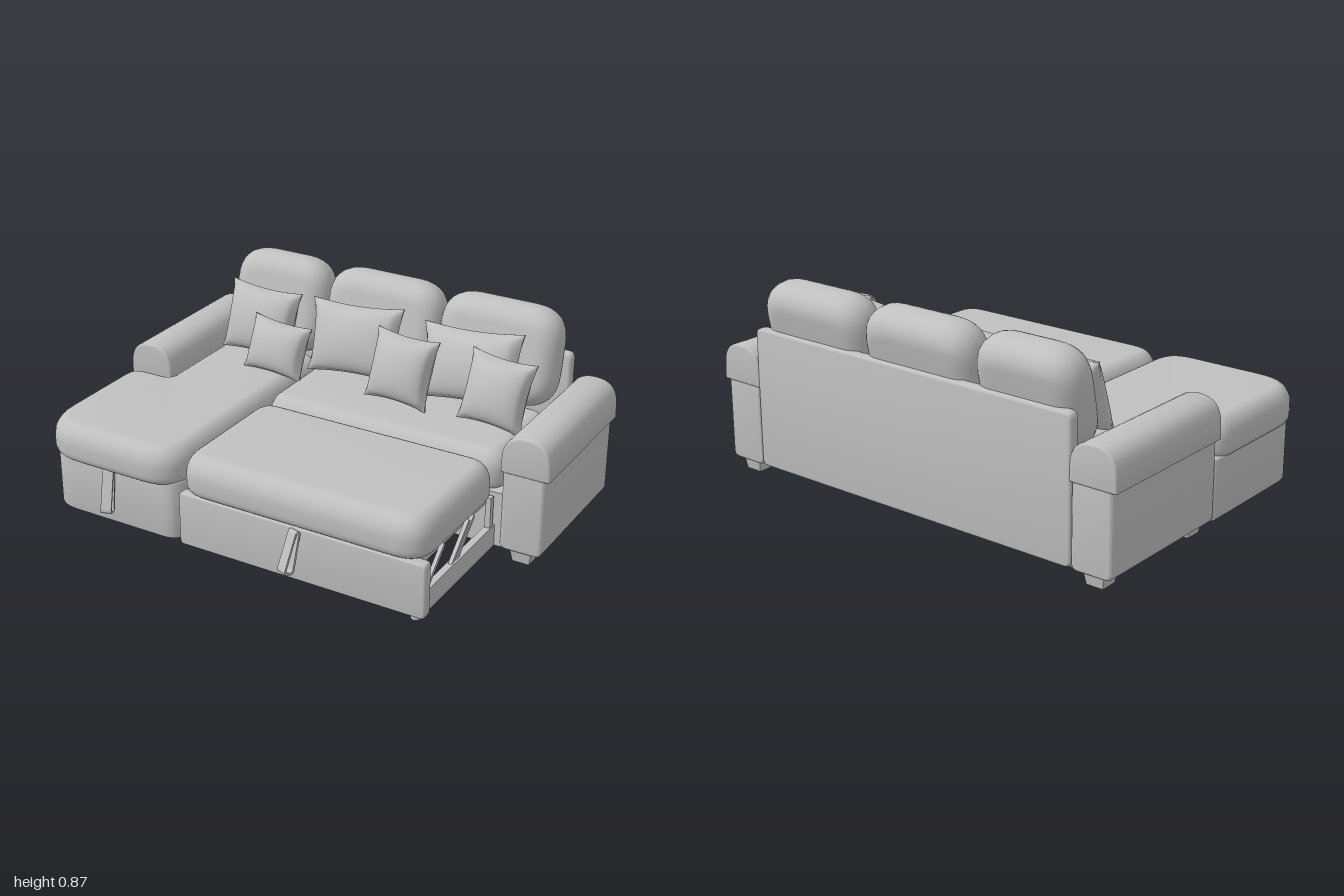
import * as THREE from 'three';
import { mergeVertices, toCreasedNormals } from 'three/addons/utils/BufferGeometryUtils.js';

const fabric = new THREE.MeshStandardMaterial({ color: 0xc0c0c0 });
fabric.name = 'grey fabric';

// Closed outline with rounded corners; each point is [x, y, radius]
function outline(points) {
  const shape = new THREE.Shape();
  const n = points.length;
  points.forEach(([x, y, r], i) => {
    const toward = ([px, py]) => {
      const len = Math.hypot(px - x, py - y);
      return [x + (px - x) * r / len, y + (py - y) * r / len];
    };
    const a = toward(points[(i + n - 1) % n]);
    const b = toward(points[(i + 1) % n]);
    if (i === 0) shape.moveTo(...a); else shape.lineTo(...a);
    shape.quadraticCurveTo(x, y, ...b);
  });
  shape.closePath();
  return shape;
}

const rect = (w, h, r) => outline([
  [-w / 2, -h / 2, r], [w / 2, -h / 2, r], [w / 2, h / 2, r], [-w / 2, h / 2, r]]);

// Extrusion with soft edges that stays inside its outline, centred in depth
function soften(shape, depth, bevel, steps = 6) {
  const geo = new THREE.ExtrudeGeometry(shape, {
    depth: depth - 2 * bevel, bevelSize: bevel, bevelThickness: bevel,
    bevelOffset: -bevel, bevelSegments: steps, curveSegments: 8,
  });
  geo.translate(0, 0, bevel - depth / 2);
  geo.deleteAttribute('normal');
  geo.deleteAttribute('uv');
  return toCreasedNormals(mergeVertices(geo, 1e-4), 0.7);
}

// Seat cushion lying flat, bulging lowest near its bottom edge; outline y is -z
function seatGeometry(shape, y0, y1, bevel) {
  const h = y1 - y0;
  const geo = soften(shape, h, bevel, 8).rotateX(-Math.PI / 2);
  const p = geo.attributes.position;
  for (let i = 0; i < p.count; i++) {
    const t = Math.min(1, Math.max(0, p.getY(i) / h + 0.5));
    p.setY(i, y0 + h * Math.pow(t, 1.4));
  }
  geo.computeVertexNormals();
  geo.deleteAttribute('normal');
  return toCreasedNormals(mergeVertices(geo, 1e-4), 0.8);
}

// Throw pillow: lens-shaped, with drawn-in edges and pointed corners
function pillowGeometry(w, h, d) {
  const geo = new THREE.BoxGeometry(2, 2, 2, 20, 20, 1);
  const p = geo.attributes.position;
  for (let i = 0; i < p.count; i++) {
    const u = p.getX(i), v = p.getY(i), s = Math.sign(p.getZ(i));
    const puff = Math.pow(Math.max(0, (1 - u * u) * (1 - v * v)), 0.45);
    p.setXYZ(i,
      u * w / 2 * (1 - 0.1 * (1 - v * v) * u * u),
      v * h / 2 * (1 - 0.1 * (1 - u * u) * v * v),
      s * (0.004 + d / 2 * puff));
  }
  geo.computeVertexNormals();
  return geo;
}

export function createModel() {
  const model = new THREE.Group();
  model.name = 'sofaBed';

  function add(name, geo, x = 0, y = 0, z = 0, rx = 0, ry = 0, rz = 0) {
    const mesh = new THREE.Mesh(geo, fabric);
    mesh.name = name;
    mesh.position.set(x, y, z);
    mesh.rotation.set(rx, ry, rz);
    model.add(mesh);
    return mesh;
  }
  // Plain block given by its limits
  const block = (name, x0, x1, y0, y1, z0, z1) => add(name,
    new THREE.BoxGeometry(x1 - x0, y1 - y0, z1 - z0),
    (x0 + x1) / 2, (y0 + y1) / 2, (z0 + z1) / 2);

  // Main body and back panel
  block('mainBase', -0.81, 0.81, 0.06, 0.3, -0.67, -0.01);
  add('backPanel', soften(rect(1.6, 0.6, 0.03), 0.05, 0.012, 3), 0, 0.36, -0.665);

  // Arms with rolled tops, and their feet
  for (const side of [-1, 1]) {
    add('armBody', soften(rect(0.18, 0.42, 0.03), 0.68, 0.012, 3), side * 0.89, 0.265, -0.345);
    const roll = outline([
      [0.79, 0.4, 0.01], [1.0, 0.4, 0.01], [0.995, 0.568, 0.1], [0.795, 0.568, 0.1]]);
    const armRoll = add('armRoll', soften(roll, 0.69, 0.009, 3), 0, 0, -0.345);
    armRoll.scale.x = side;
    for (const z of [-0.06, -0.62]) {
      const foot = new THREE.CylinderGeometry(0.066, 0.052, 0.06, 4).rotateY(Math.PI / 4);
      add('foot', toCreasedNormals(foot, 0.5), side * 0.89, 0.035, z);
    }
  }

  // Chaise: storage base and a long cushion reaching back between the arms
  const chaiseBase = outline([
    [-0.98, -0.615, 0.13], [-0.33, -0.615, 0.08], [-0.33, 0.01, 0.02], [-0.98, 0.01, 0.02]]);
  add('chaiseBase', soften(chaiseBase, 0.26, 0.01, 3), 0, 0.185, 0, -Math.PI / 2);
  const chaiseTop = outline([
    [-0.995, -0.655, 0.2], [-0.318, -0.655, 0.16], [-0.318, 0.52, 0.1],
    [-0.8, 0.52, 0.1], [-0.8, 0, 0.01], [-0.995, 0, 0.1]]);
  add('chaiseCushion', seatGeometry(chaiseTop, 0.295, 0.46, 0.065));

  // Fixed seat cushion and pull-out cushion
  const seat = outline([
    [-0.318, 0.005, 0.1], [0.79, 0.005, 0.1], [0.79, 0.52, 0.1], [-0.318, 0.52, 0.1]]);
  add('seatCushion', seatGeometry(seat, 0.29, 0.46, 0.065));
  const pullOut = outline([
    [-0.315, -0.64, 0.13], [0.785, -0.64, 0.13], [0.785, 0, 0.11], [-0.315, 0, 0.11]]);
  add('pullOutCushion', seatGeometry(pullOut, 0.288, 0.462, 0.068));

  // Pull-out drawer: front panel, rails, cushion board and legs
  add('pullOutFront', soften(rect(1.11, 0.235, 0.02), 0.05, 0.008, 3), 0.235, 0.173, 0.595);
  block('cushionBoard', -0.28, 0.75, 0.262, 0.295, 0.02, 0.57);
  block('crossRail', -0.3, 0.77, 0.065, 0.095, 0.53, 0.57);
  for (const x of [-0.29, 0.24, 0.76]) {
    block('sideRail', x - 0.015, x + 0.015, 0.06, 0.155, -0.01, 0.58);
    block('rearPost', x - 0.012, x + 0.012, 0.15, 0.29, 0.005, 0.03);
    // Slanted lift struts from rail to board, as [z low, z high]
    for (const [z0, z1] of [[0.56, 0.42], [0.35, 0.21], [0.31, 0.17]]) {
      const len = Math.hypot(0.13, z1 - z0);
      add('liftStrut', new THREE.BoxGeometry(0.016, len, 0.016),
        x, 0.215, (z0 + z1) / 2, Math.atan2(z1 - z0, 0.13));
    }
  }
  for (const [x, z] of [[0.715, 0.54], [-0.42, 0.125]]) {
    add('supportLeg', new THREE.CylinderGeometry(0.02, 0.02, 0.07, 12), x, 0.035, z);
  }

  // Back cushions, leaning back
  for (const [x0, x1] of [[-0.79, -0.318], [-0.315, 0.238], [0.235, 0.785]]) {
    add('backCushion', soften(rect(x1 - x0, 0.43, 0.15), 0.2, 0.092, 8),
      (x0 + x1) / 2, 0.655, -0.567, -0.22);
  }

  // Throw pillows: x, y, z, width, height, thickness, lean, turn, roll
  for (const [x, y, z, w, h, d, lean, turn, roll] of [
    [-0.565, 0.615, -0.39, 0.35, 0.31, 0.15, -0.3, 0.03, -0.03],
    [-0.405, 0.565, -0.265, 0.29, 0.24, 0.13, -0.35, 0, -0.06],
    [-0.09, 0.625, -0.39, 0.43, 0.32, 0.16, -0.3, 0.04, 0.06],
    [0.21, 0.61, -0.255, 0.29, 0.3, 0.15, -0.32, 0, -0.05],
    [0.465, 0.635, -0.38, 0.46, 0.32, 0.16, -0.3, -0.04, 0.07],
    [0.645, 0.61, -0.255, 0.29, 0.3, 0.15, -0.32, 0, -0.07],
  ]) {
    add('throwPillow', pillowGeometry(w, h, d), x, y, z, lean, turn, roll);
  }

  // Pull straps: looped ribbons hanging off the two fronts
  const strap = outline([[-0.012, 0.09, 0.01], [-0.026, -0.09, 0.02], [0.026, -0.09, 0.02], [0.012, 0.09, 0.01]]);
  strap.holes.push(outline([[-0.005, 0.08, 0.004], [0.005, 0.08, 0.004], [0.016, -0.08, 0.012], [-0.016, -0.08, 0.012]]));
  const strapGeo = new THREE.ExtrudeGeometry(strap, { depth: 0.045, bevelEnabled: false, curveSegments: 6 });
  strapGeo.translate(0, 0, -0.0225).rotateY(Math.PI / 2).rotateX(-0.28);
  add('pullStrap', strapGeo, -0.645, 0.22, 0.655, 0, 0.35);
  add('pullStrap', strapGeo, 0.225, 0.2, 0.655, 0, -0.35);

  return model;
}
